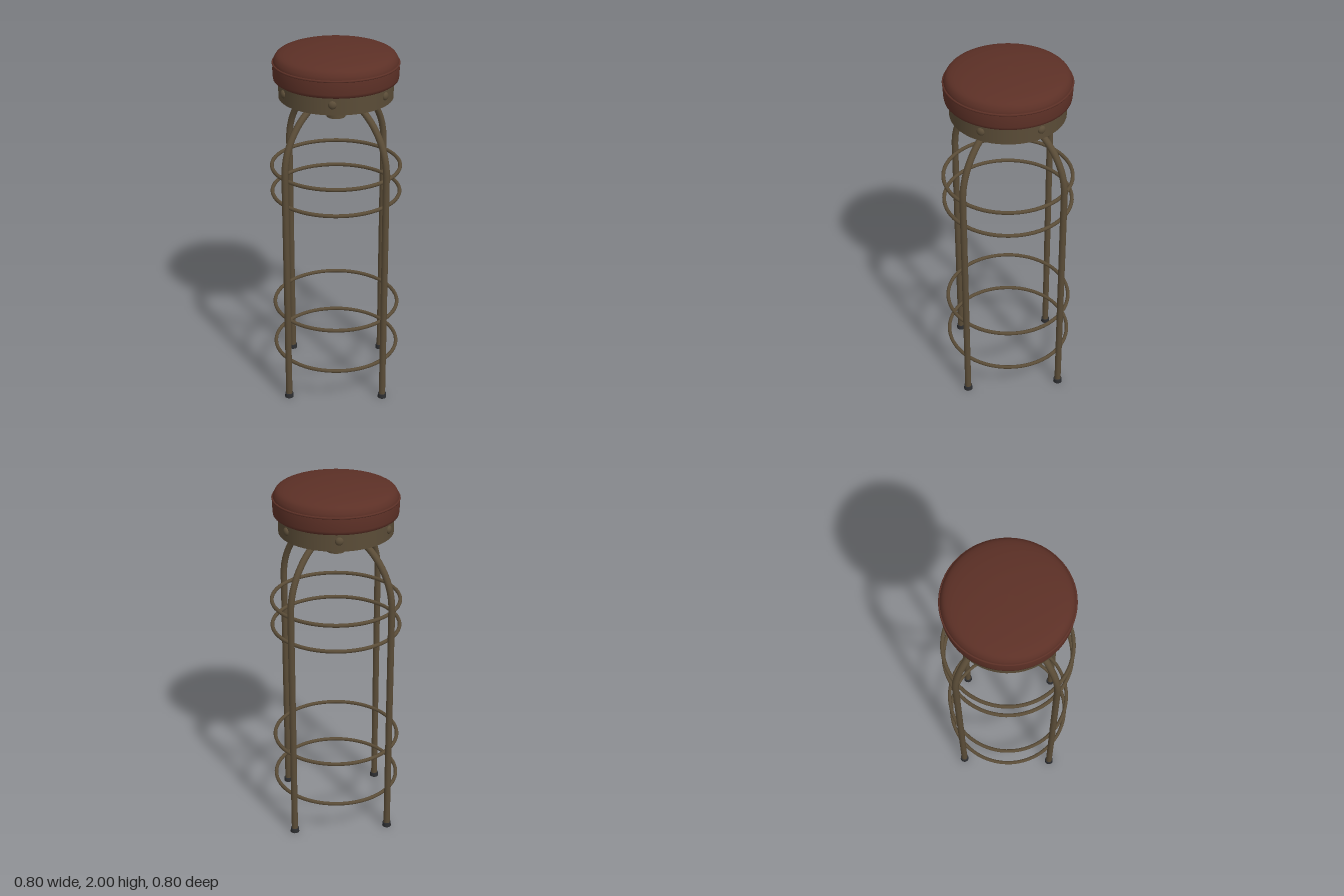
import * as THREE from 'three';

export function createModel() {
  const model = new THREE.Group();
  const material = (name, color) => {
    const m = new THREE.MeshStandardMaterial({ color });
    m.name = name;
    return m;
  };
  const leather = material('red brown leather', 0x5c3026);
  const metal = material('aged bronze', 0x5a4c37);
  const dark = material('dark slate', 0x2c2d30);

  const add = (name, geometry, mat, x = 0, y = 0, z = 0) => {
    const mesh = new THREE.Mesh(geometry, mat);
    mesh.name = name;
    mesh.position.set(x, y, z);
    model.add(mesh);
    return mesh;
  };
  const lathe = (points) =>
    new THREE.LatheGeometry(points.map(([r, y]) => new THREE.Vector2(r, y)), 64);

  // Cushion: straight side, piped seam and a domed top
  add('cushionSide', lathe([[0, 1.82], [0.32, 1.82], [0.32, 1.82], [0.33, 1.827], [0.332, 1.84],
    [0.334, 1.88], [0.33, 1.912]]), leather);
  const dome = new THREE.SplineCurve([[0.33, 1.91], [0.326, 1.932], [0.308, 1.957], [0.265, 1.974],
    [0.19, 1.988], [0.1, 1.997], [0, 2]].map(([r, y]) => new THREE.Vector2(r, y)));
  const domePoints = dome.getPoints(24);
  domePoints[24].x = 0;
  add('cushionTop', new THREE.LatheGeometry(domePoints, 64), leather);
  add('cushionPiping', new THREE.TorusGeometry(0.331, 0.006, 8, 64).rotateX(Math.PI / 2), leather, 0, 1.912);

  // Metal band under the cushion, with a hollow inside
  add('seatBand', lathe([[0.298, 1.725], [0.305, 1.725], [0.305, 1.725], [0.305, 1.82]]), metal);
  add('seatBandLining', lathe([[0.298, 1.82], [0.298, 1.725]]), dark);

  // Six domed bolts round the band
  for (let i = 0; i < 6; i++) {
    const a = THREE.MathUtils.degToRad(12 + i * 60);
    const bolt = add('bandBolt', new THREE.SphereGeometry(0.022, 16, 10), metal,
      Math.sin(a) * 0.304, 1.78, Math.cos(a) * 0.304);
    bolt.rotation.y = a;
    bolt.scale.z = 0.65;
  }

  // Mounting plate and hollow swivel post
  add('mountingPlate', new THREE.BoxGeometry(0.26, 0.03, 0.26), dark, 0, 1.806).rotation.y = Math.PI / 4;
  add('swivelPost', lathe([[0.038, 1.8], [0.038, 1.61], [0.038, 1.61], [0.051, 1.61],
    [0.051, 1.61], [0.051, 1.8]]), metal);

  // Two crossing hoops, each forming a pair of legs
  const R = 0.375, bend = 1.37;
  const path = new THREE.CurvePath();
  const v = (x, y) => new THREE.Vector3(x, y, 0);
  const k = R * 0.5523;
  path.add(new THREE.LineCurve3(v(-R, 0.01), v(-R, bend)));
  path.add(new THREE.CubicBezierCurve3(v(-R, bend), v(-R, bend + k), v(-k, bend + R), v(0, bend + R)));
  path.add(new THREE.CubicBezierCurve3(v(0, bend + R), v(k, bend + R), v(R, bend + k), v(R, bend)));
  path.add(new THREE.LineCurve3(v(R, bend), v(R, 0.01)));
  for (let i = 0; i < 2; i++) {
    add('legHoop', new THREE.TubeGeometry(path, 120, 0.018, 14), metal).rotation.y = i * Math.PI / 2;
  }

  // Rubber feet
  for (let i = 0; i < 4; i++) {
    const a = i * Math.PI / 2;
    add('foot', new THREE.CylinderGeometry(0.023, 0.025, 0.024, 20), dark,
      Math.sin(a) * R, 0.012, Math.cos(a) * R);
  }

  // Bracing rings, two high and two low
  for (const y of [0.225, 0.487, 1.182, 1.332]) {
    add('braceRing', new THREE.TorusGeometry(0.349, 0.0105, 10, 64).rotateX(Math.PI / 2), metal, 0, y);
  }
  return model;
}
